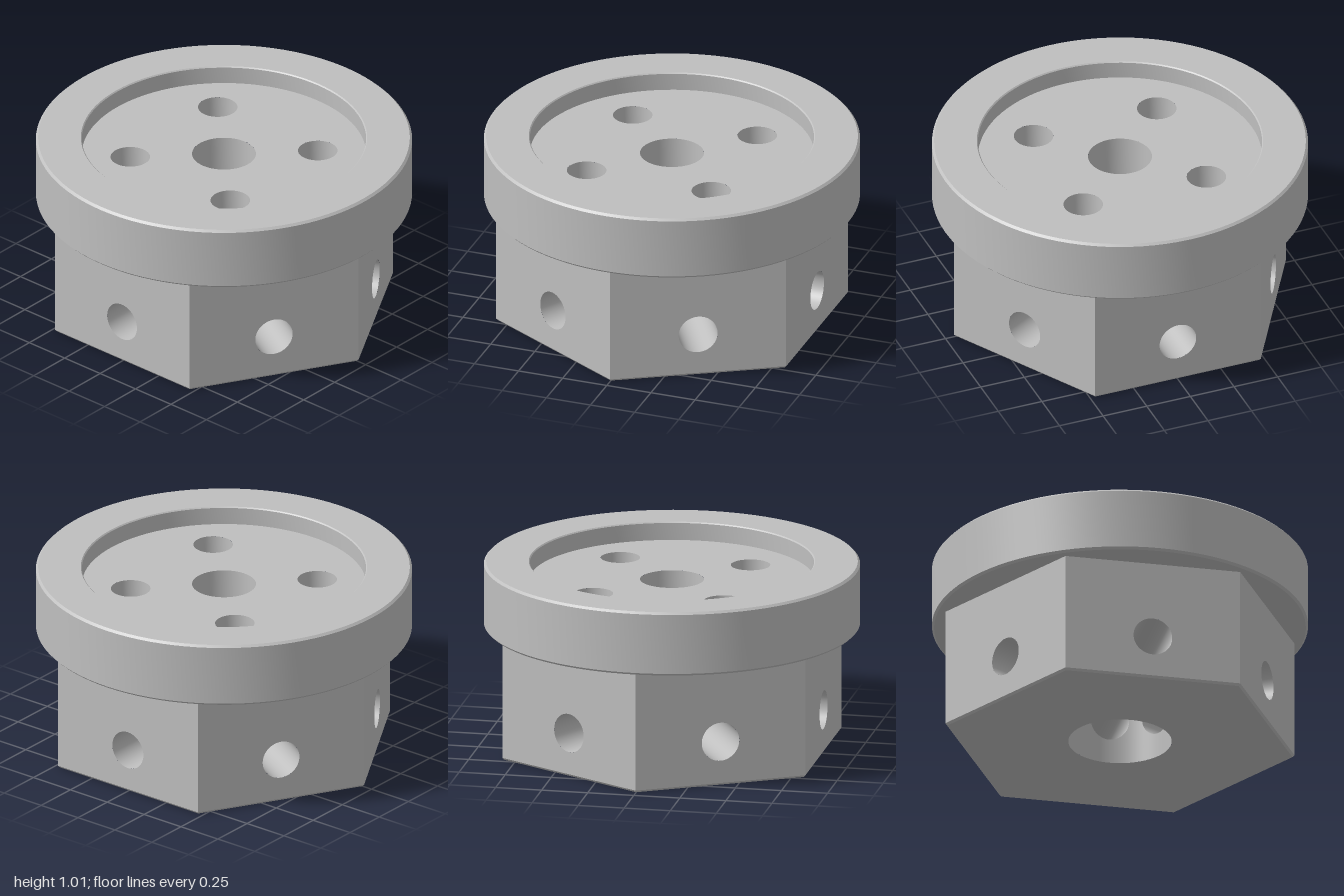
import * as THREE from 'three';
import { toCreasedNormals } from 'three/addons/utils/BufferGeometryUtils.js';
import { ParametricGeometry } from 'three/addons/geometries/ParametricGeometry.js';

const TAU = Math.PI * 2;
const HEX = 0.95, APOTHEM = HEX * Math.cos(Math.PI / 6);   // hexagonal body
const HEX_TOP = 0.665, TOP = 1.015, FLOOR = 0.915;         // heights
const RECESS = 0.755, BORE = 0.17, SOCKET = 0.275, SOCKET_TOP = 0.5;
const PIN = 0.105, PIN_AT = 0.353, PIN_END = 0.66;         // blind holes on top
const SIDE = 0.105, SIDE_Y = 0.24, BEVEL = 0.012;          // cross holes in the hexagon

export function createModel() {
  const group = new THREE.Group();
  group.name = 'hexFlange';
  const steel = new THREE.MeshStandardMaterial({ color: 0xbfbfbf });
  steel.name = 'grey steel';

  const add = (name, geometry, parent = group) => {
    const mesh = new THREE.Mesh(geometry, steel);
    mesh.name = name;
    parent.add(mesh);
    return mesh;
  };
  const lathe = (points, segments) => toCreasedNormals(
    new THREE.LatheGeometry(points.map(([x, y]) => new THREE.Vector2(x, y)), segments), 0.5);
  const circle = (x, y, r) => new THREE.Path().absarc(x, y, r, 0, TAU, true);

  // Round flange with softened rims and the recess wall
  add('flange', lathe([
    [0.8, HEX_TOP], [1 - BEVEL, HEX_TOP], [1, HEX_TOP + BEVEL], [1, TOP - BEVEL], [1 - BEVEL, TOP],
    [RECESS + 0.006, TOP], [RECESS, TOP - 0.006], [RECESS, FLOOR],
  ], 96));

  // Recess floor with the centre bore and four pin holes
  const floor = new THREE.Shape().absarc(0, 0, RECESS, 0, TAU, false);
  floor.holes.push(circle(0, 0, BORE));
  for (const sx of [-1, 1]) for (const sz of [-1, 1]) {
    floor.holes.push(circle(sx * PIN_AT, sz * PIN_AT, PIN));
    add('pinHole', lathe([[PIN, FLOOR], [PIN, PIN_END], [0, PIN_END]], 48))
      .position.set(sx * PIN_AT, 0, sz * PIN_AT);
  }
  add('recessFloor', new THREE.ShapeGeometry(floor, 48).rotateX(-Math.PI / 2).translate(0, FLOOR, 0));

  // Centre bore, stepping out to the ceiling of the lower socket
  add('centreBore', lathe([[BORE, FLOOR], [BORE, SOCKET_TOP], [SOCKET, SOCKET_TOP]], 48));

  // Underside of the hexagon with the socket opening
  const base = new THREE.Shape();
  for (let i = 0; i < 6; i++) {
    const a = i * TAU / 6, r = HEX - BEVEL;
    base[i ? 'lineTo' : 'moveTo'](r * Math.cos(a), r * Math.sin(a));
  }
  base.closePath();
  base.holes.push(circle(0, 0, SOCKET));
  add('underside', new THREE.ShapeGeometry(base, 48).rotateX(Math.PI / 2));
  add('baseBevel', toCreasedNormals(
    new THREE.CylinderGeometry(HEX, HEX - BEVEL, BEVEL, 6, 1, true, Math.PI / 6), 0.5)
    .translate(0, BEVEL / 2, 0));

  // One sixth of the hexagon: drilled face, cross hole and socket wall
  const face = new THREE.Shape();
  face.moveTo(-HEX / 2, BEVEL);
  face.lineTo(HEX / 2, BEVEL);
  face.lineTo(HEX / 2, HEX_TOP);
  face.lineTo(-HEX / 2, HEX_TOP);
  face.closePath();
  face.holes.push(circle(0, SIDE_Y, SIDE));
  const faceGeometry = new THREE.ShapeGeometry(face, 48).translate(0, 0, APOTHEM);

  // Cross hole runs from the face to the curved socket wall
  const holeGeometry = new ParametricGeometry((u, v, p) => {
    const x = SIDE * Math.cos(u * TAU), y = SIDE_Y + SIDE * Math.sin(u * TAU);
    p.set(x, y, THREE.MathUtils.lerp(APOTHEM, Math.sqrt(SOCKET * SOCKET - x * x), v));
  }, 48, 1);

  // Socket wall spreads from the hole edge to a rectangle, wrapped round the axis
  const wallGeometry = new ParametricGeometry((u, v, p) => {
    const c = Math.cos(u * TAU), s = Math.sin(u * TAU);
    const k = 1 / Math.max(Math.abs(c), Math.abs(s));
    const angle = THREE.MathUtils.lerp(Math.asin(SIDE * c / SOCKET), c * k * Math.PI / 6, v);
    const edge = SIDE_Y + s * k * (s > 0 ? SOCKET_TOP - SIDE_Y : SIDE_Y);
    const y = THREE.MathUtils.lerp(SIDE_Y + SIDE * s, edge, v);
    p.set(SOCKET * Math.sin(angle), y, SOCKET * Math.cos(angle));
  }, 48, 4);

  for (let i = 0; i < 6; i++) {
    const side = new THREE.Group();
    side.name = 'hexSide';
    side.rotation.y = i * TAU / 6;
    add('hexFace', faceGeometry, side);
    add('crossHole', holeGeometry, side);
    add('socketWall', wallGeometry, side);
    group.add(side);
  }
  return group;
}
